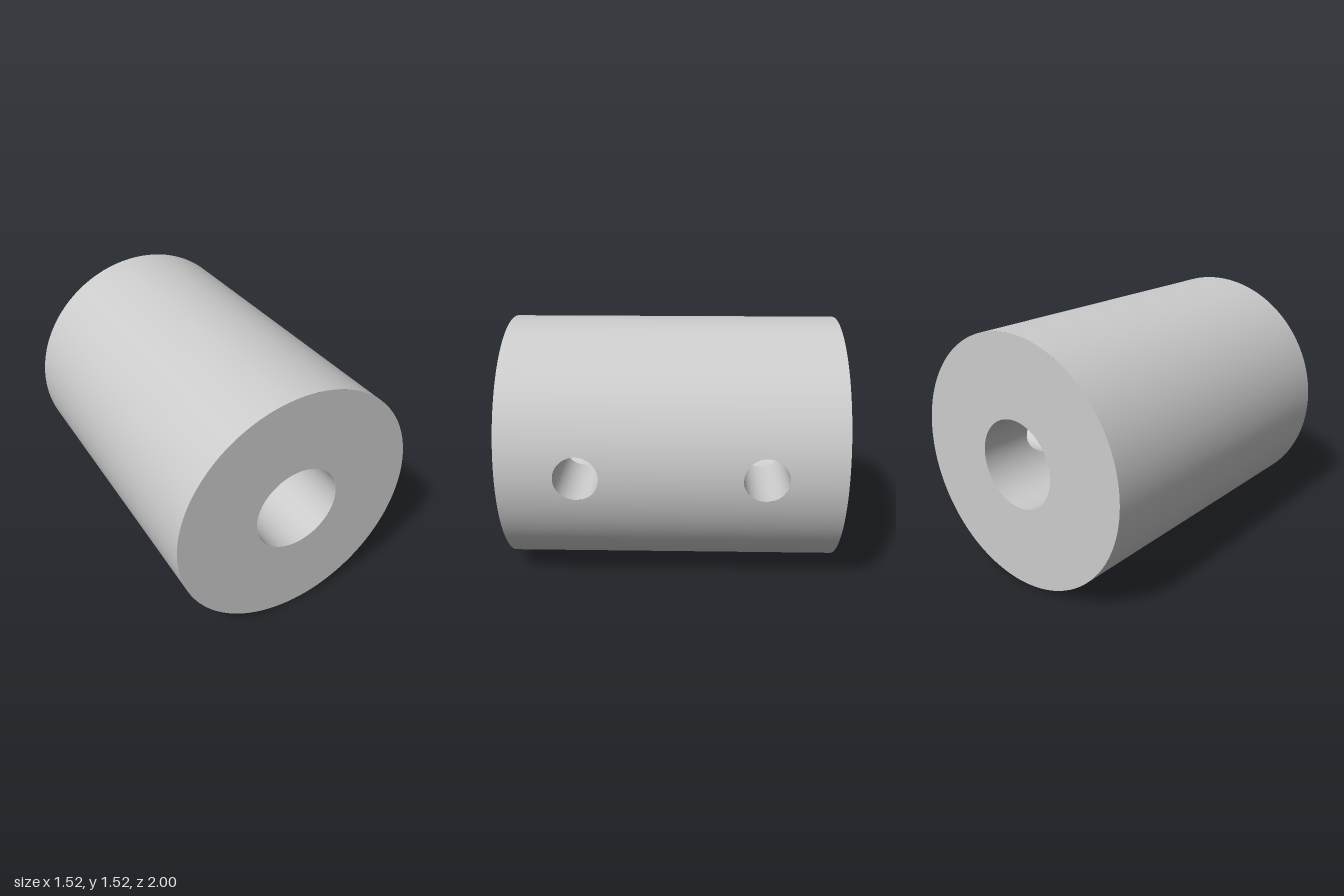
import * as THREE from 'three';

const R = 0.76, BORE = 0.267, HOLE = 0.13, HOLE_Z = 0.54, FLOOR = 0.08;

// Smooth grid surface: fn(u, v) returns [position, normal]; faces are wound to agree with the normal.
function surface(nu, nv, fn) {
  const pos = [], nor = [], idx = [], P = [], N = [];
  for (let j = 0; j <= nv; j++) for (let i = 0; i <= nu; i++) {
    const [p, n] = fn(i / nu, j / nv);
    P.push(p); N.push(n);
    pos.push(p.x, p.y, p.z);
    nor.push(n.x, n.y, n.z);
  }
  const tri = (a, b, c) => {
    const f = P[b].clone().sub(P[a]).cross(P[c].clone().sub(P[a]));
    const n = N[a].clone().add(N[b]).add(N[c]);
    if (f.dot(n) >= 0) idx.push(a, b, c); else idx.push(a, c, b);
  };
  for (let j = 0; j < nv; j++) for (let i = 0; i < nu; i++) {
    const a = j * (nu + 1) + i, b = a + 1, c = a + nu + 1, d = c + 1;
    tri(a, b, d);
    tri(a, d, c);
  }
  const g = new THREE.BufferGeometry();
  g.setAttribute('position', new THREE.Float32BufferAttribute(pos, 3));
  g.setAttribute('normal', new THREE.Float32BufferAttribute(nor, 3));
  g.setIndex(idx);
  return g;
}

// Point on a round wall about the z axis, normal facing out (1) or in (-1)
function onWall(r, angle, z, facing) {
  const c = Math.cos(angle), s = Math.sin(angle);
  return [new THREE.Vector3(r * c, r * s, z), new THREE.Vector3(c * facing, s * facing, 0)];
}

// Point on a rectangle's outline, t from 0 to 1
function outline(t, x0, x1, y0, y1) {
  const k = Math.min(3, Math.floor(t * 4)), f = t * 4 - k;
  const xs = [x0, x1, x1, x0, x0], ys = [y0, y0, y1, y1, y0];
  return [xs[k] + (xs[k + 1] - xs[k]) * f, ys[k] + (ys[k + 1] - ys[k]) * f];
}

// Wall patch around the cross hole, spanning angles -half..half and z0..1
function holedPatch(r, half, z0, side, facing) {
  return surface(96, 8, (u, v) => {
    const [a, z] = outline(u, -half, half, z0, 1);
    const t = Math.atan2(z - HOLE_Z, r * a);
    const ha = Math.asin(HOLE * Math.cos(t) / r), hz = HOLE_Z + HOLE * Math.sin(t);
    return onWall(r, ha + (a - ha) * v, (hz + (z - hz) * v) * side, facing);
  });
}

// Rest of the round wall
function plainWall(r, half, z0, side, facing) {
  return surface(112, 1, (u, v) =>
    onWall(r, half + u * (2 * Math.PI - 2 * half), (z0 + (1 - z0) * v) * side, facing));
}

export function createModel() {
  const group = new THREE.Group();
  group.name = 'shaftCoupling';
  const metal = new THREE.MeshStandardMaterial({ color: 0xcccccc });
  metal.name = 'light grey metal';
  const body = new THREE.Group();
  body.name = 'body';
  body.position.y = R;
  group.add(body);

  const add = (name, geometry) => {
    const m = new THREE.Mesh(geometry, metal);
    m.name = name;
    body.add(m);
    return m;
  };

  for (const side of [1, -1]) {
    const end = side > 0 ? 'front' : 'back';

    // Outer skin with its screw hole opening
    add(end + 'OuterWall', plainWall(R, 0.4, 0, side, 1));
    add(end + 'OuterHolePatch', holedPatch(R, 0.4, 0, side, 1));

    // Blind bore
    add(end + 'BoreWall', plainWall(BORE, 0.9, FLOOR, side, -1));
    add(end + 'BoreHolePatch', holedPatch(BORE, 0.9, FLOOR, side, -1));

    // Screw hole from the outer skin into the bore
    add(end + 'ScrewHole', surface(64, 1, (u, v) => {
      const c = Math.cos(u * 2 * Math.PI), s = Math.sin(u * 2 * Math.PI);
      const r = v ? R : BORE, y = HOLE * c;
      return [
        new THREE.Vector3(Math.sqrt(r * r - y * y), y, (HOLE_Z + HOLE * s) * side),
        new THREE.Vector3(0, -c, -s * side),
      ];
    }));

    // End face and bore floor
    const face = add(end + 'EndFace', new THREE.RingGeometry(BORE, R, 128, 1));
    const floor = add(end + 'BoreFloor', new THREE.CircleGeometry(BORE, 128));
    face.position.z = side;
    floor.position.z = FLOOR * side;
    if (side < 0) face.rotation.y = floor.rotation.y = Math.PI;
  }
  return group;
}
